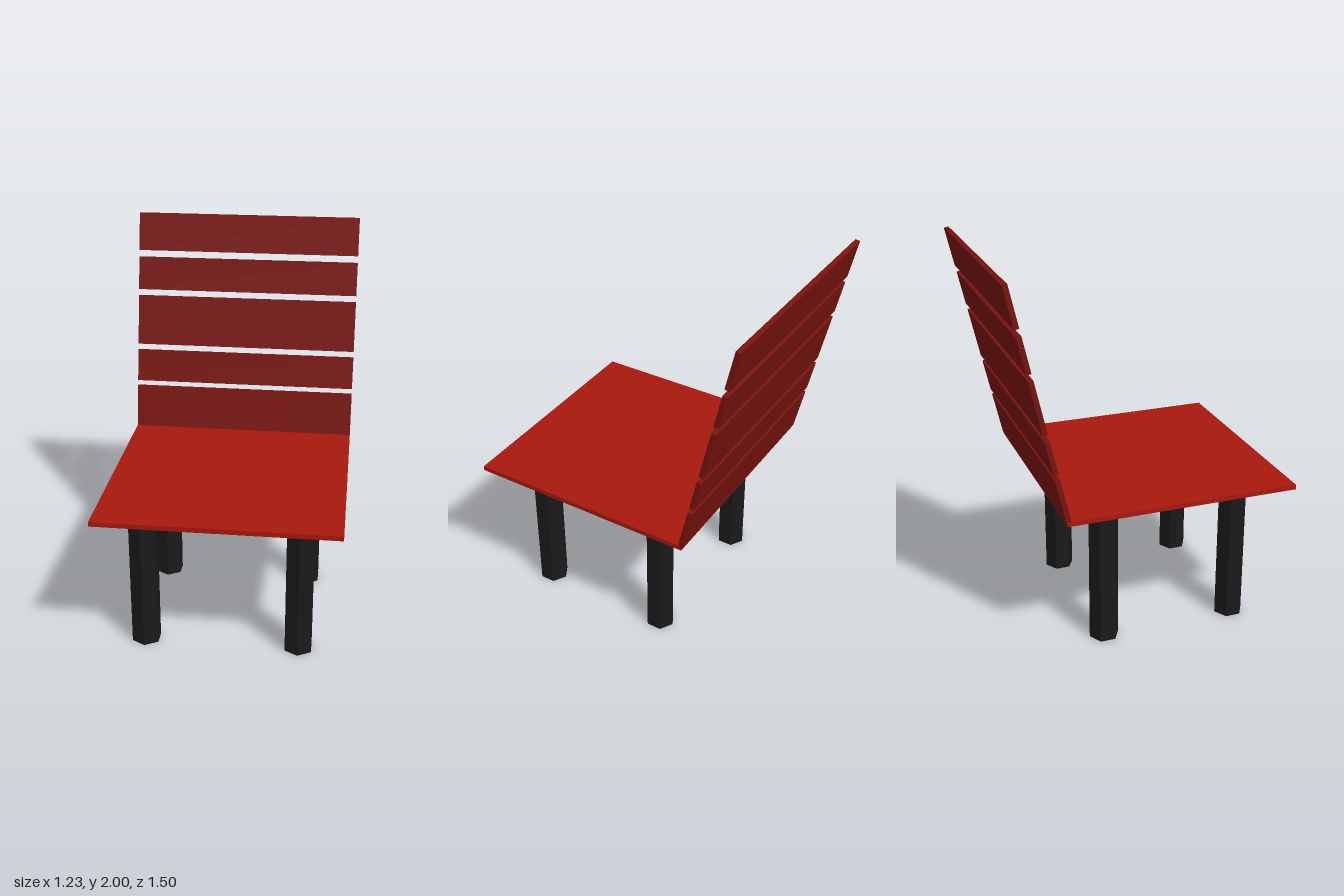
import * as THREE from 'three';

export function createModel() {
  const chair = new THREE.Group();
  chair.name = 'chair';
  const material = (color) => new THREE.MeshStandardMaterial({ color, flatShading: true });
  const seatRed = material(0xa8180e);
  const slatRed = material(0x78130f);
  const black = material(0x1a1a1a);

  const add = (name, geometry, mat, x, y, z) => {
    const mesh = new THREE.Mesh(geometry, mat);
    mesh.name = name;
    mesh.position.set(x, y, z);
    chair.add(mesh);
    return mesh;
  };

  const width = 1.234, thickness = 0.025;

  // Thin flat seat
  add('seat', new THREE.BoxGeometry(width, thickness, 1.225), seatRed, 0, 0.797, 0.1375);

  // Four hexagonal legs, corners pointing front and back
  const legHeight = 0.786;
  const legGeometry = new THREE.CylinderGeometry(0.079, 0.079, legHeight, 6);
  for (const [row, z] of [['front', 0.497], ['back', -0.222]]) {
    for (const [side, x] of [['Left', 0.402], ['Right', -0.402]]) {
      add(`${row}${side}Leg`, legGeometry, black, x, legHeight / 2, z);
    }
  }

  // Leaning backrest made of five slats, each given by its lowest and highest y
  const lean = Math.atan(0.27 / 1.2);
  const slats = [[0.795, 1.04], [1.063, 1.243], [1.27, 1.547], [1.575, 1.76], [1.79, 2]];
  slats.forEach(([low, high], i) => {
    const y = (low + high) / 2;
    const height = (high - low - thickness * Math.sin(lean)) / Math.cos(lean);
    const z = -0.467 - (y - 0.8) * Math.tan(lean);
    const slat = add(`backSlat${i + 1}`, new THREE.BoxGeometry(width, height, thickness), slatRed, 0, y, z);
    slat.rotation.x = -lean;
  });

  return chair;
}
